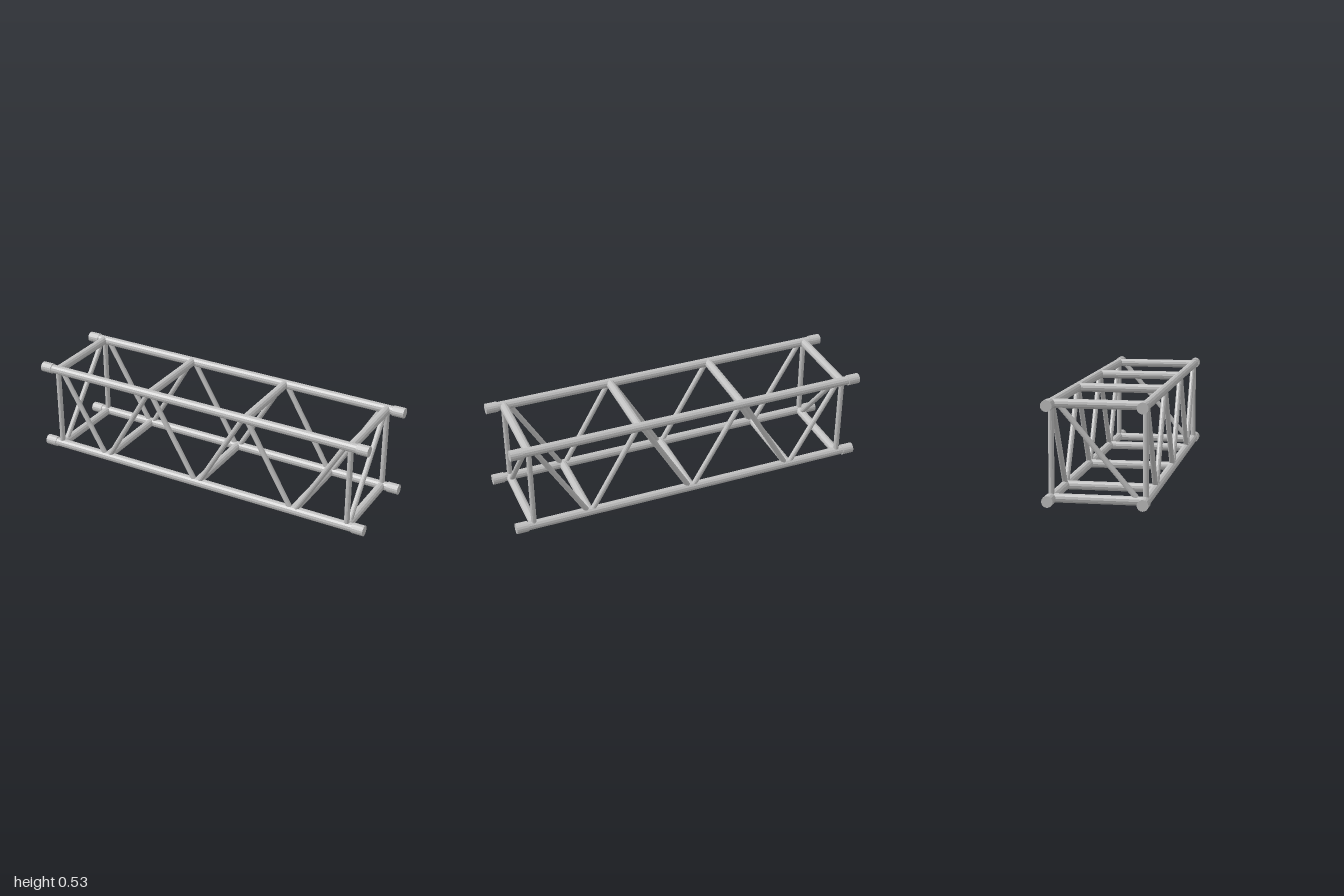
import * as THREE from 'three';

const HALF_Z = 0.235, LOW = 0.03, HIGH = 0.5, END_X = 0.9;

export function createModel() {
  const model = new THREE.Group();
  model.name = 'boxTruss';
  const metal = new THREE.MeshStandardMaterial({ color: 0xc0c0c0, flatShading: true });
  metal.name = 'aluminium grey';

  // Straight round bar between two points
  function bar(name, a, b, radius, sides = 12) {
    const from = new THREE.Vector3(...a), to = new THREE.Vector3(...b);
    const dir = to.clone().sub(from);
    const mesh = new THREE.Mesh(new THREE.CylinderGeometry(radius, radius, dir.length(), sides), metal);
    mesh.position.copy(from).add(to).multiplyScalar(0.5);
    mesh.quaternion.setFromUnitVectors(new THREE.Vector3(0, 1, 0), dir.normalize());
    mesh.name = name;
    model.add(mesh);
  }

  for (const z of [-HALF_Z, HALF_Z]) {
    // Long chords with a thicker sleeve on each end
    for (const y of [LOW, HIGH]) {
      bar('chord', [-0.99, y, z], [0.99, y, z], 0.0245);
      for (const s of [-1, 1]) bar('endSleeve', [s * 0.935, y, z], [s, y, z], 0.029, 16);
    }
    // End posts
    for (const x of [-END_X, END_X]) bar('endPost', [x, LOW, z], [x, HIGH, z], 0.015);
    // Zigzag braces on the side faces
    for (let i = 0; i < 6; i++) {
      const x0 = -0.882 + i * 0.294 + 0.01, x1 = -0.882 + (i + 1) * 0.294 - 0.01;
      const down = i % 2 === 0;
      bar('sideBrace', [x0, down ? HIGH : LOW, z], [x1, down ? LOW : HIGH, z], 0.0145);
    }
  }

  // Cross bars joining front and back chords
  for (const x of [-END_X, -0.295, 0.295, END_X])
    bar('topCrossBar', [x, HIGH, -HALF_Z], [x, HIGH, HALF_Z], 0.0235);
  for (const x of [-END_X, -0.59, 0, 0.59, END_X])
    bar('bottomCrossBar', [x, LOW, -HALF_Z], [x, LOW, HALF_Z], 0.0235);

  // Diagonal brace across each end frame
  for (const x of [-END_X, END_X])
    bar('endBrace', [x, LOW + 0.005, 0.198], [x, HIGH - 0.005, -0.195], 0.0145);

  return model;
}
